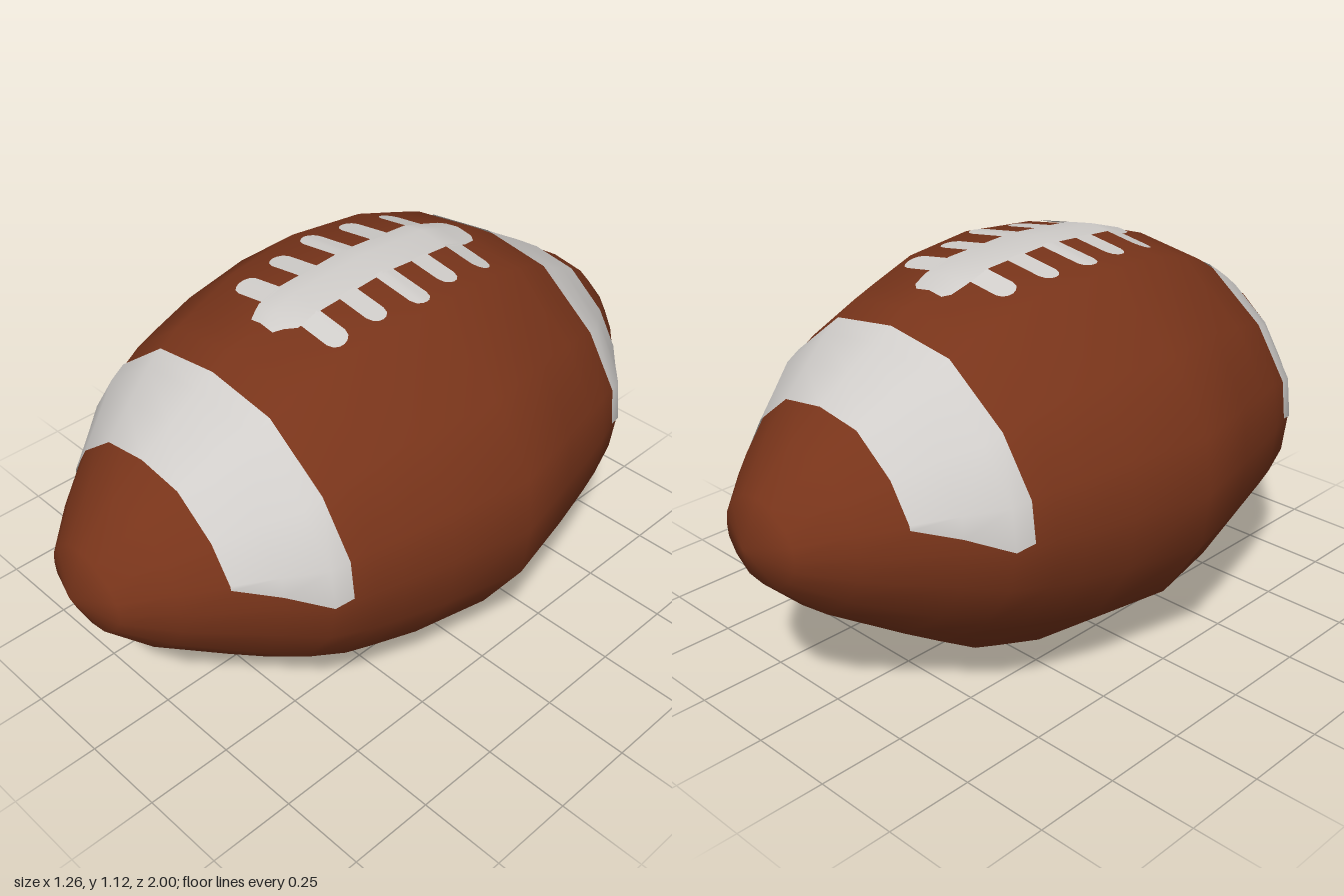
import * as THREE from 'three';
import { mergeVertices } from 'three/addons/utils/BufferGeometryUtils.js';

const CY = 0.556; // height of the long axis
// Half profile along z: [z, half width, half height]
const HALF = [
  [0, 0.63, 0.555], [0.23, 0.575, 0.54], [0.37, 0.54, 0.496], [0.45, 0.517, 0.47],
  [0.56, 0.48, 0.4], [0.65, 0.4, 0.347], [0.84, 0.24, 0.225], [0.95, 0.135, 0.117], [1, 0, 0],
];
// Quarter of the 16-sided cross-section, from the side (0) up to the top (4)
const QUARTER = [[1, 0], [0.97, 0.28], [0.78, 0.615], [0.42, 0.93], [0, 1]];

const lerp = THREE.MathUtils.lerp;

function corner(k) {
  k = ((k % 16) + 16) % 16;
  const half = k % 8, q = half > 4 ? 8 - half : half;
  const [x, y] = QUARTER[q];
  const sy = k > 8 ? -1 : 1;
  const sx = k > 4 && k < 12 ? -1 : 1;
  return [x * sx, y * sy];
}

function radii(z) {
  const d = Math.min(Math.abs(z), 1);
  let i = 0;
  while (i < HALF.length - 2 && HALF[i + 1][0] < d) i++;
  const a = HALF[i], b = HALF[i + 1], t = (d - a[0]) / (b[0] - a[0]);
  return [lerp(a[1], b[1], t), lerp(a[2], b[2], t)];
}

// Point on the faceted ball at section position a (0..16) and depth z
function surface(a, z, lift = 0) {
  const k = Math.floor(a), p = corner(k), q = corner(k + 1), t = a - k;
  const [rx, ry] = radii(z);
  const cx = lerp(p[0], q[0], t), cy = lerp(p[1], q[1], t);
  return [(rx + lift) * cx, CY + (ry + lift) * cy, z];
}

// Height of the top of the ball above a plan position
function topHeight(x, z) {
  const [rx, ry] = radii(z), u = Math.abs(x) / rx;
  let i = 3;
  while (i > 0 && QUARTER[i][0] < u) i--;
  const a = QUARTER[i + 1], b = QUARTER[i];
  return CY + ry * lerp(a[1], b[1], (u - a[0]) / (b[0] - a[0]));
}

// Smooth mesh from equal rows of points, rows running towards +z
function loft(rows) {
  const n = rows[0].length, index = [];
  for (let r = 0; r < rows.length - 1; r++) {
    for (let c = 0; c < n - 1; c++) {
      const a = r * n + c, b = a + 1, d = a + n, e = d + 1;
      index.push(a, b, d, b, e, d);
    }
  }
  let geo = new THREE.BufferGeometry();
  geo.setAttribute('position', new THREE.Float32BufferAttribute(rows.flat(2), 3));
  geo.setIndex(index);
  geo = mergeVertices(geo, 1e-5);
  geo.computeVertexNormals();
  return geo;
}

export function createModel() {
  const group = new THREE.Group();
  const leather = new THREE.MeshStandardMaterial({ color: 0x78341a });
  leather.name = 'brown leather';
  const white = new THREE.MeshStandardMaterial({ color: 0xd0cdca, side: THREE.DoubleSide });
  white.name = 'off-white paint';
  const add = (name, geo, mat, parent = group) => {
    const mesh = new THREE.Mesh(geo, mat);
    mesh.name = name;
    parent.add(mesh);
  };

  // Ball
  const zs = [...HALF.slice(1).map(h => -h[0]).reverse(), ...HALF.map(h => h[0])];
  const ring = Array.from({ length: 17 }, (_, k) => k);
  // Sections run anticlockwise seen from +z, so reverse nothing: a -> b -> next ring faces out
  add('ball', loft(zs.map(z => ring.map(k => surface(k, z)))), leather);

  // Painted bands over the upper half at both ends: [z, section position of the lower edge]
  const band = [[0.51, 0.1], [0.56, 0], [0.65, 0.4], [0.745, 0.85]];
  for (const [name, s] of [['frontStripe', 1], ['backStripe', -1]]) {
    const edge = s > 0 ? band : [...band].reverse();
    const rows = edge.map(([z, a]) =>
      [a, 1, 2, 3, 4, 5, 6, 7, 8 - a].map(k => surface(k, z * s, 0.005)));
    add(name, loft(rows), white);
  }

  // Laces draped over the top
  const laces = new THREE.Group();
  laces.name = 'laces';
  group.add(laces);
  const drape = (x, z) => [x, topHeight(x, z) + 0.005, z];

  // Spine rows: [z, left edge, right edge]
  const spine = [
    [-0.38, -0.045, 0.05], [-0.36, -0.06, 0.075], [-0.31, -0.063, 0.09], [-0.23, -0.063, 0.09],
    [0, -0.063, 0.09], [0.23, -0.063, 0.09], [0.3, -0.063, 0.085], [0.325, -0.05, 0.06], [0.35, -0.035, 0.045],
  ];
  add('laceSpine', loft(spine.map(([z, l, r]) => [r, 0, l].map(x => drape(x, z)))), white, laces);

  // Round-ended cross bars: [z, left end, right end]
  const bars = [[-0.265, -0.185, 0.21], [-0.13, -0.205, 0.215], [0, -0.22, 0.24], [0.13, -0.2, 0.215], [0.26, -0.185, 0.21]];
  const R = 0.031;
  for (const [zc, l, r] of bars) {
    for (const [end, start] of [[l, -0.055], [r, 0.08]]) {
      const s = Math.sign(end);
      const rows = [-1, -0.8, -0.4, 0, 0.4, 0.8, 1].map(t => {
        const tip = end - s * R * (1 - Math.sqrt(1 - t * t));
        const xs = s > 0 ? [tip, start] : [start, tip];
        return xs.map(x => drape(x, zc + t * R));
      });
      add('laceBar', loft(rows), white, laces);
    }
  }
  return group;
}
